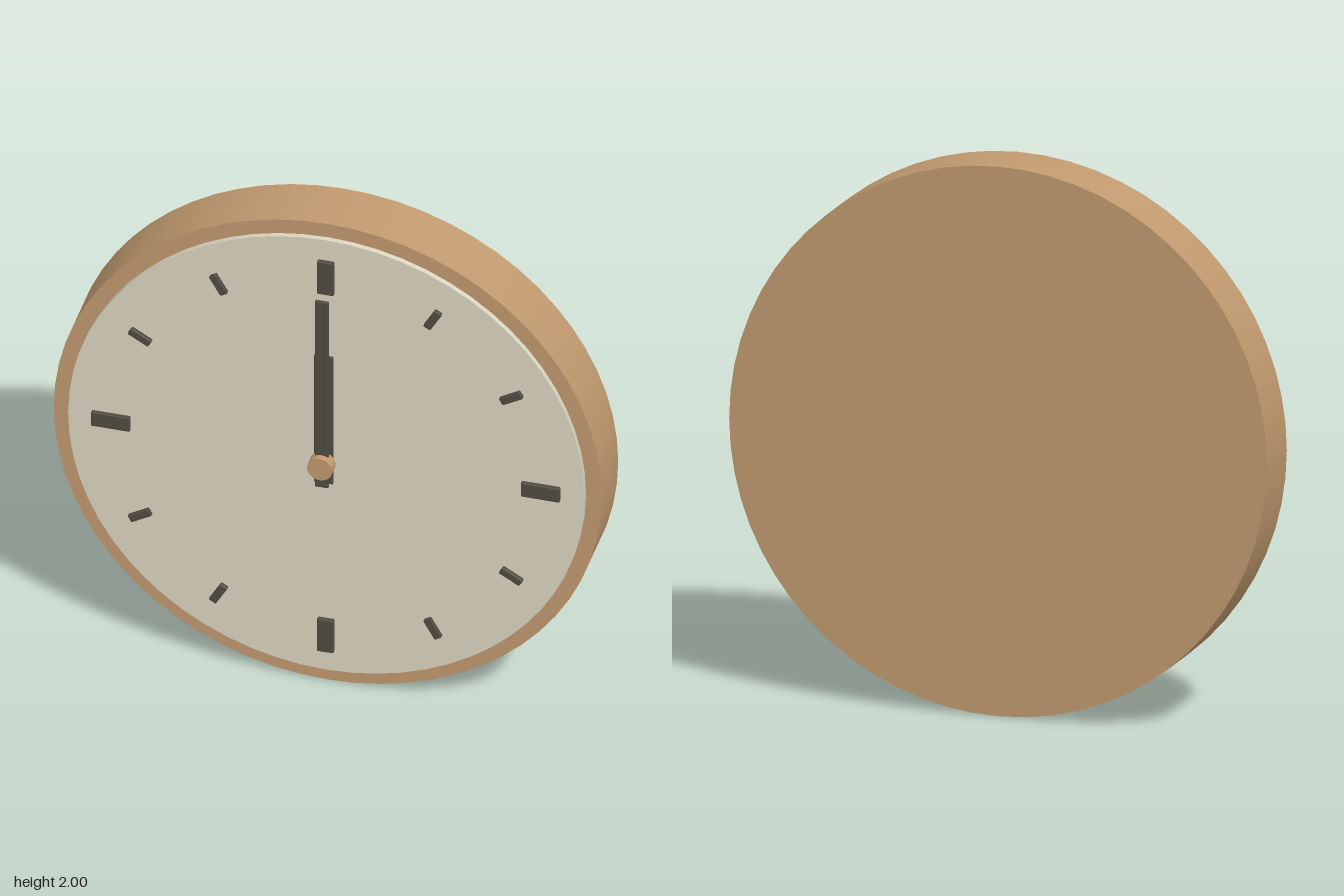
import * as THREE from 'three';
import { RoundedBoxGeometry } from 'three/addons/geometries/RoundedBoxGeometry.js';

const material = (name, color) => {
  const m = new THREE.MeshStandardMaterial({ color });
  m.name = name;
  return m;
};

export function createModel() {
  const wood = material('wood', 0xc19a6f);
  const cream = material('cream', 0xdcd6c1);
  const charcoal = material('charcoal', 0x504c42);

  const clock = new THREE.Group();
  clock.name = 'wallClock';
  const face = new THREE.Group(); // origin at the centre of the dial
  face.name = 'clockBody';
  face.position.y = 1;
  clock.add(face);

  // Disc with its axis along z, between two depths
  const disc = (name, radius, z0, z1, mat, sides) => {
    const geo = new THREE.CylinderGeometry(radius, radius, z1 - z0, sides);
    geo.rotateX(Math.PI / 2);
    const mesh = new THREE.Mesh(geo, mat);
    mesh.name = name;
    mesh.position.z = (z0 + z1) / 2;
    face.add(mesh);
  };

  // Softly edged bar running outwards from r0 to r1, turned clockwise
  const bar = (name, width, r0, r1, z0, z1, angle = 0) => {
    const geo = new RoundedBoxGeometry(width, r1 - r0, z1 - z0, 2, 0.004);
    geo.translate(0, (r0 + r1) / 2, (z0 + z1) / 2);
    const mesh = new THREE.Mesh(geo, charcoal);
    mesh.name = name;
    mesh.rotation.z = -angle;
    face.add(mesh);
  };

  // Case and dial
  disc('case', 1, -0.163, 0.053, wood, 64);
  disc('dial', 0.942, 0.04, 0.073, cream, 64);

  // Hour markers, larger at each quarter
  for (let i = 0; i < 12; i++) {
    const angle = (i * Math.PI) / 6;
    if (i % 3 === 0) bar('quarterMarker', 0.06, 0.713, 0.855, 0.072, 0.09, angle);
    else bar('hourMarker', 0.03, 0.739, 0.825, 0.072, 0.09, angle);
  }

  // Hands and centre cap
  bar('hourHand', 0.07, -0.097, 0.46, 0.101, 0.112);
  bar('minuteHand', 0.05, -0.097, 0.718, 0.126, 0.138);
  disc('centreCap', 0.046, 0.118, 0.163, wood, 32);

  return clock;
}
